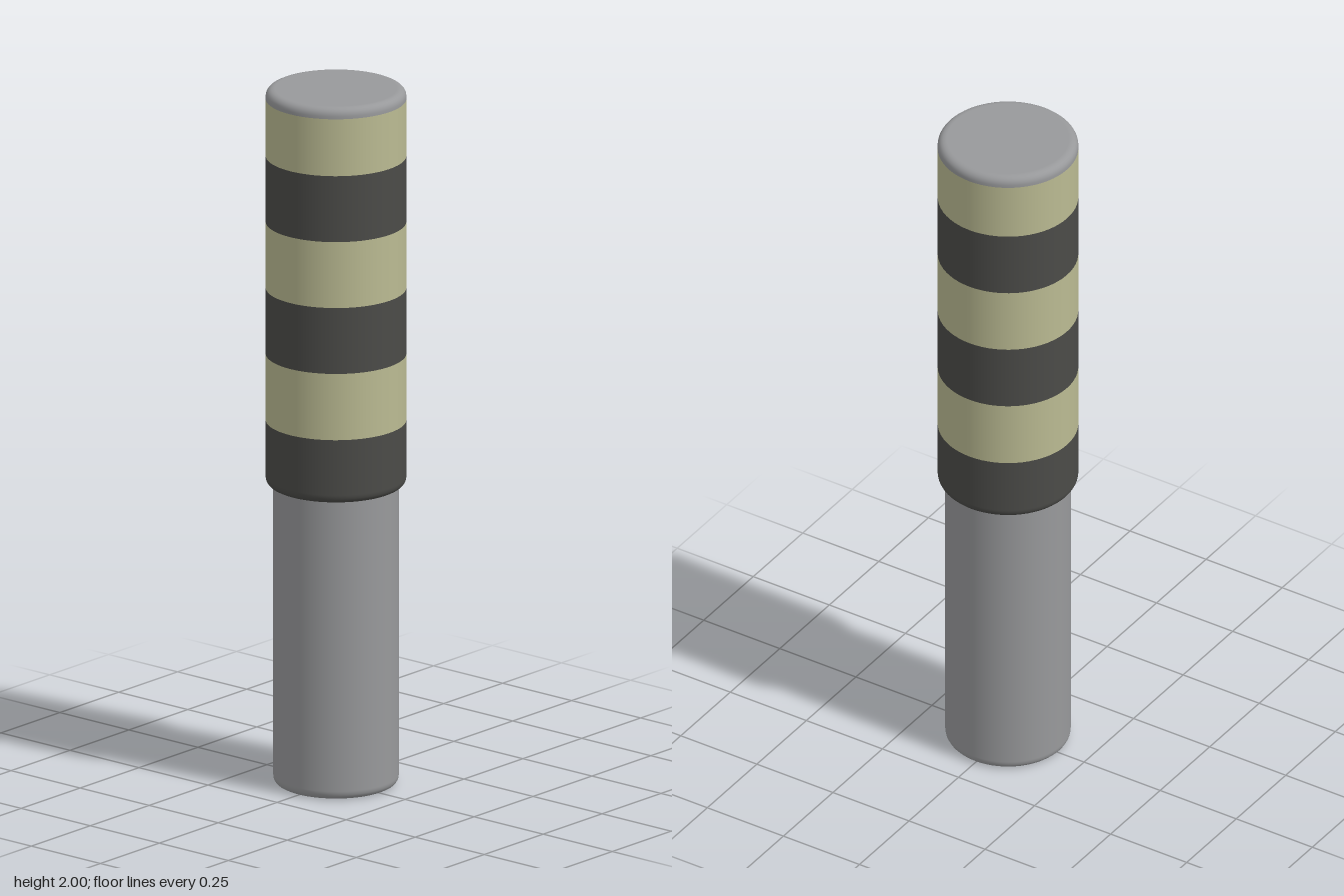
import * as THREE from 'three';

const SEGMENTS = 64;
const POST_RADIUS = 0.173;
const SLEEVE_RADIUS = 0.194;
const BEVEL = 0.022;

const grey = new THREE.MeshStandardMaterial({ color: 0x98999b });
const dark = new THREE.MeshStandardMaterial({ color: 0x4b4b48 });
const yellow = new THREE.MeshStandardMaterial({ color: 0xbaba92 });

// Quarter-round edge of the given outer radius, from angle a to b (0 = outward, PI/2 = up)
function roundEdge(radius, y, a, b, steps = 5) {
  return Array.from({ length: steps + 1 }, (_, i) => {
    const t = a + ((b - a) * i) / steps;
    return [radius - BEVEL + BEVEL * Math.cos(t), y + BEVEL * Math.sin(t)];
  });
}

function turned(name, profile, material) {
  const points = profile.map(([r, y]) => new THREE.Vector2(r, y));
  const mesh = new THREE.Mesh(new THREE.LatheGeometry(points, SEGMENTS), material);
  mesh.name = name;
  return mesh;
}

export function createModel() {
  const group = new THREE.Group();
  group.name = 'bollard';

  // Plain lower post with a rounded foot, running up into the sleeve
  group.add(turned('post', [
    [0, 0],
    [POST_RADIUS - BEVEL - 0.004, 0],
    ...roundEdge(POST_RADIUS, BEVEL, -Math.PI / 2, 0),
    [POST_RADIUS, BEVEL + 0.004],
    [POST_RADIUS, 0.9],
  ], grey));

  // Striped sleeve: alternating bands, the lowest with a rounded lip
  const levels = [0.86, 1.045, 1.236, 1.426, 1.616, 1.806, 1.97];
  for (let i = 0; i < levels.length - 1; i++) {
    const isDark = i % 2 === 0;
    const start = i === 0
      ? [
          [POST_RADIUS - 0.01, levels[0]],
          ...roundEdge(SLEEVE_RADIUS, levels[0] + BEVEL, -Math.PI / 2, 0),
          [SLEEVE_RADIUS, levels[0] + BEVEL + 0.004],
        ]
      : [[SLEEVE_RADIUS, levels[i]]];
    group.add(turned(
      `${isDark ? 'dark' : 'yellow'}Band${i + 1}`,
      [...start, [SLEEVE_RADIUS, levels[i + 1]]],
      isDark ? dark : yellow,
    ));
  }

  // Rounded top cap
  group.add(turned('cap', [
    [SLEEVE_RADIUS, 1.97],
    ...roundEdge(SLEEVE_RADIUS, 2 - BEVEL, 0, Math.PI / 2),
    [SLEEVE_RADIUS - BEVEL - 0.004, 2],
    [0, 2],
  ], grey));

  return group;
}
